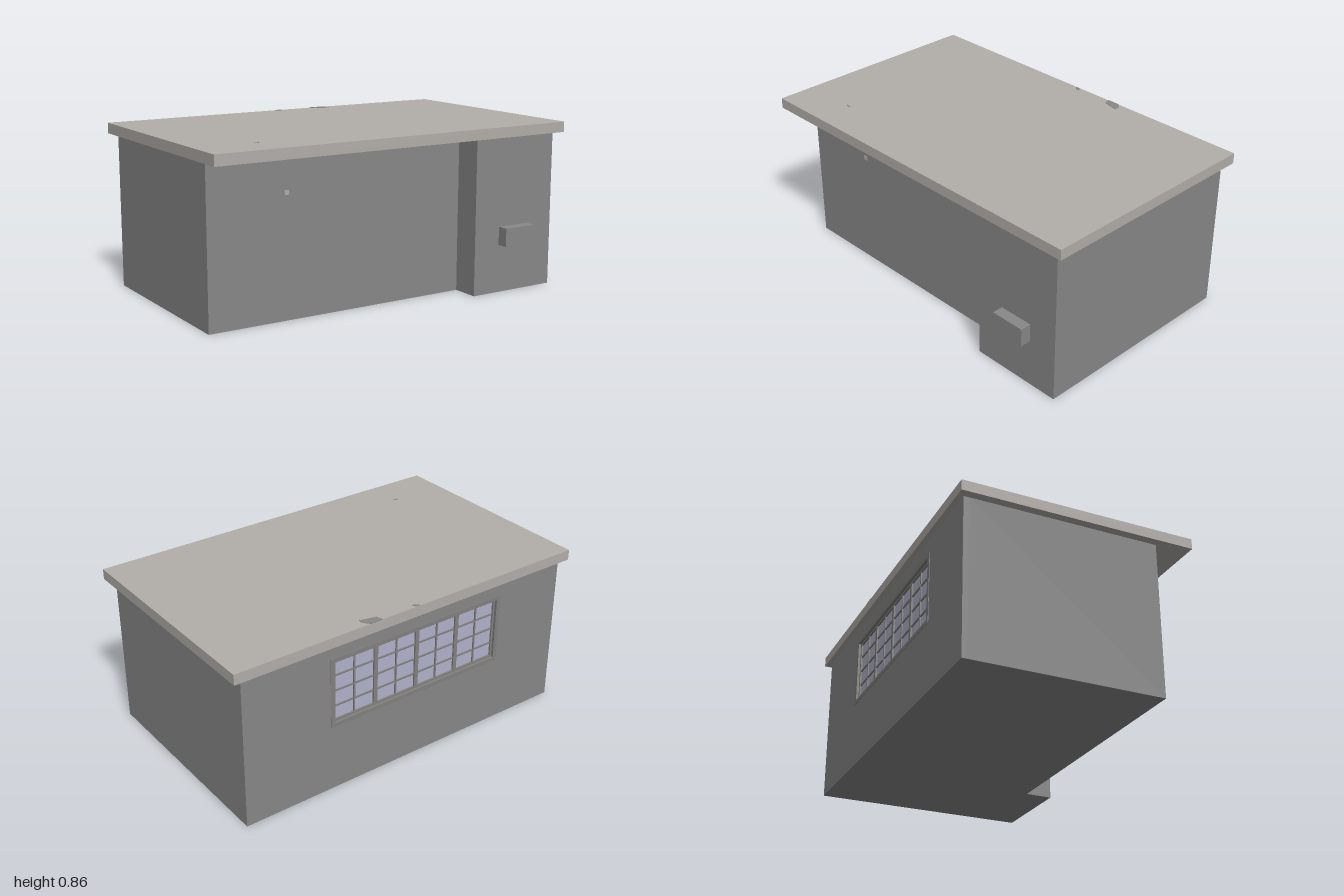
import * as THREE from 'three';

const mat = (name, color) => {
  const m = new THREE.MeshStandardMaterial({ color });
  m.name = name;
  return m;
};

export function createModel() {
  const wall = mat('wall grey', 0x888888);
  const roofMat = mat('roof stone', 0xb2aeaa);
  const frameMat = mat('window frame grey', 0x83827f);
  const glassMat = mat('pale blue glass', 0xb2b2cc);
  const model = new THREE.Group();
  model.name = 'flatRoofBuilding';

  const add = (name, geo, material, parent = model) => {
    const mesh = new THREE.Mesh(geo, material);
    mesh.name = name;
    parent.add(mesh);
    return mesh;
  };
  // box given by its minimum and maximum corners
  const box = (name, a, b, material, parent) => {
    const s = a.map((v, i) => b[i] - v);
    const mesh = add(name, new THREE.BoxGeometry(...s), material, parent);
    mesh.position.set(...a.map((v, i) => (v + b[i]) / 2));
    return mesh;
  };
  const shapeOf = (pts) => new THREE.Shape(pts.map(([x, y]) => new THREE.Vector2(x, y)));
  const rect = (x0, y0, x1, y1) => [[x0, y0], [x1, y0], [x1, y1], [x0, y1]];
  // rectangular plate with a rectangular hole
  const ring = (name, outer, inner, z, depth, material, parent) => {
    const s = shapeOf(rect(...outer));
    s.holes.push(shapeOf(rect(...inner)));
    const geo = new THREE.ExtrudeGeometry(s, { depth, bevelEnabled: false });
    geo.translate(0, 0, z);
    return add(name, geo, material, parent);
  };
  // outline in x and z, extruded upward from y
  const slab = (name, pts, y, height, material) => {
    const geo = new THREE.ExtrudeGeometry(shapeOf(pts.map(([x, z]) => [x, -z])),
      { depth: height, bevelEnabled: false });
    geo.rotateX(-Math.PI / 2).translate(0, y, 0);
    return add(name, geo, material);
  };

  // main body with the projecting bay at the front
  const L = -0.957, R = 0.953, back = -0.587, inner = -0.56, top = 0.803;
  slab('body', [[L, inner], [R, inner], [R, 0.56], [0.46, 0.56], [0.46, 0.415], [L, 0.415]],
    0, top, wall);

  // back wall with the window opening
  const win = [-0.563, 0.352, 0.475, 0.727];
  ring('backWall', [L, 0, R, top], win, back, inner - back, wall);

  // flat roof and small wall box
  box('roof', [-1, top, -0.615], [1, 0.857, 0.593], roofMat);
  box('wallBox', [0.613, 0.248, 0.55], [0.797, 0.343, 0.617], wall);

  // worn patches on the roof and a small chip in the front wall
  const patches = [
    [[0.2, -0.615], [0.27, -0.615], [0.295, -0.585], [0.295, -0.56], [0.21, -0.58]],
    [[-0.025, -0.612], [0, -0.612], [0.012, -0.595], [-0.005, -0.592]],
    [[-0.7, 0.395], [-0.675, 0.395], [-0.675, 0.402], [-0.7, 0.402]],
  ];
  patches.forEach((p) => slab('roofPatch', p, 0.856, 0.003, wall));
  box('wallChip', [-0.555, 0.605, 0.412], [-0.533, 0.627, 0.418], roofMat);

  // window: outer frame, glass and four casements of two by four panes
  const windowGroup = new THREE.Group();
  windowGroup.name = 'backWindow';
  model.add(windowGroup);
  const f = 0.022;
  const open = [win[0] + f, win[1] + f, win[2] - f, win[3] - f];
  ring('outerFrame', win, open, back - 0.003, 0.028, frameMat, windowGroup);
  box('glass', [open[0], open[1], -0.568], [open[2], open[3], -0.562], glassMat, windowGroup);

  const w = (open[2] - open[0]) / 4, h = open[3] - open[1];
  const stile = 0.011, bar = 0.004;
  for (let i = 0; i < 4; i++) {
    const x0 = open[0] + i * w, x1 = x0 + w, mid = (x0 + x1) / 2;
    ring('casementFrame', [x0, open[1], x1, open[3]],
      [x0 + stile, open[1] + stile, x1 - stile, open[3] - stile], -0.577, 0.012, frameMat, windowGroup);
    box('verticalBar', [mid - bar, open[1] + stile, -0.575],
      [mid + bar, open[3] - stile, -0.566], frameMat, windowGroup);
    for (let j = 1; j < 4; j++) {
      const y = open[1] + (h * j) / 4;
      box('horizontalBar', [x0 + stile, y - bar, -0.574],
        [x1 - stile, y + bar, -0.566], frameMat, windowGroup);
    }
  }
  return model;
}
